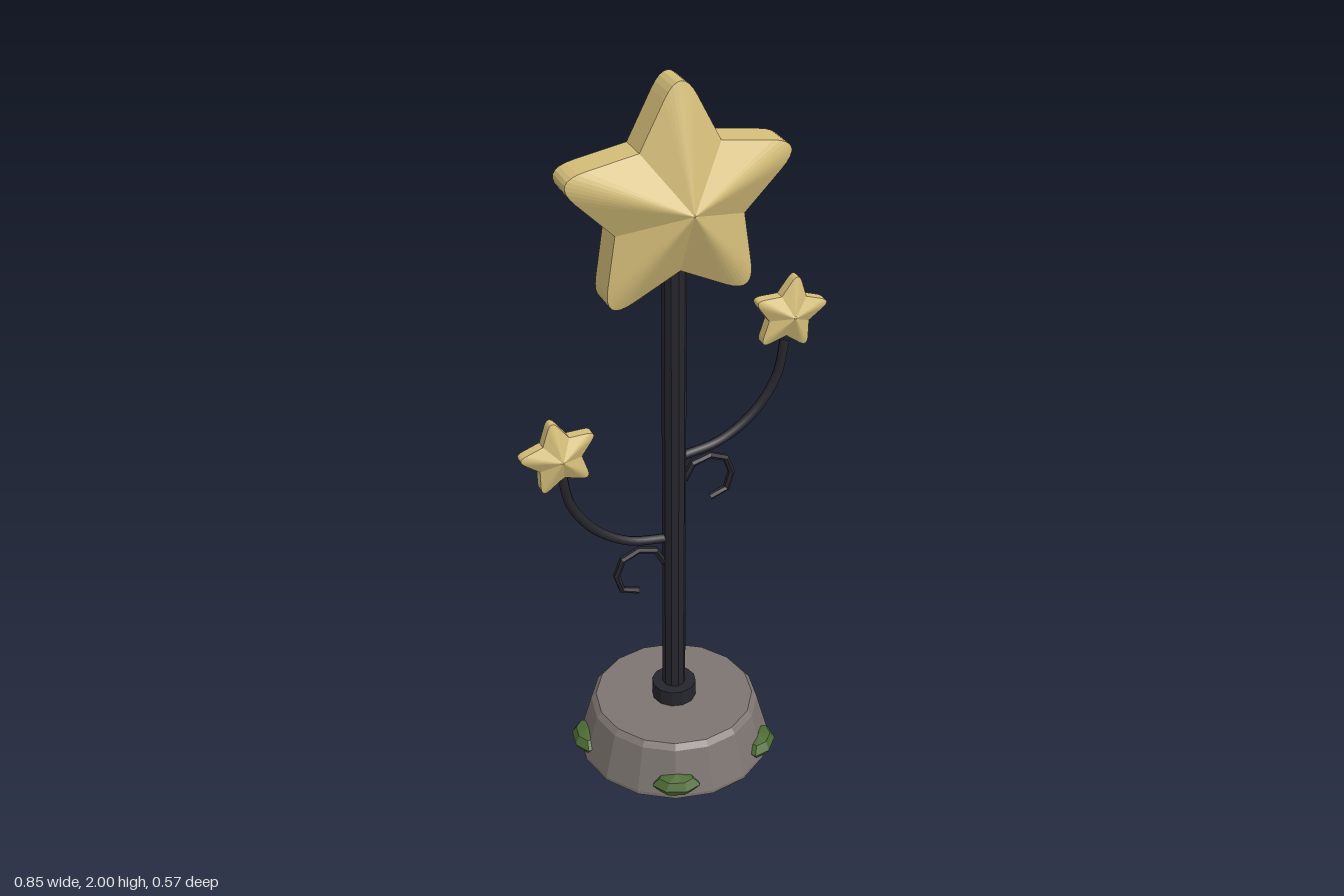
import * as THREE from 'three';

const gold = new THREE.MeshStandardMaterial({ color: 0xd6bf7a });
gold.name = 'gold';
const iron = new THREE.MeshStandardMaterial({ color: 0x25252d });
iron.name = 'dark iron';
const stone = new THREE.MeshStandardMaterial({ color: 0x7d7571 });
stone.name = 'stone';
const moss = new THREE.MeshStandardMaterial({ color: 0x4c6b33 });
moss.name = 'moss';

// Split faces so each one is shaded flat
function faceted(geometry) {
  const g = geometry.index ? geometry.toNonIndexed() : geometry;
  g.computeVertexNormals();
  return g;
}

// Five rounded arms: a flat rim band with a pyramid peak on each side
function starGeometry() {
  const polar = (r, a) => new THREE.Vector2(-r * Math.sin(a), r * Math.cos(a));
  const outline = new THREE.Shape();
  const step = Math.PI / 5;
  for (let i = 0; i < 5; i++) {
    const a = i * 2 * step;
    const tip = polar(0.35, a);
    const before = polar(0.18, a - step);
    const after = polar(0.18, a + step);
    const p = before.clone().lerp(tip, 0.6);
    const q = after.clone().lerp(tip, 0.6);
    if (i === 0) outline.moveTo(before.x, before.y);
    outline.lineTo(p.x, p.y);
    outline.quadraticCurveTo(tip.x, tip.y, q.x, q.y);
    outline.lineTo(after.x, after.y);
  }
  const pts = outline.getPoints(8);
  const rim = 0.04, peak = 0.125, v = [];
  for (let i = 0; i < pts.length - 1; i++) {
    const a = pts[i], b = pts[i + 1];
    v.push(a.x, a.y, rim, b.x, b.y, rim, 0, 0, peak);
    v.push(b.x, b.y, -rim, a.x, a.y, -rim, 0, 0, -peak);
    v.push(a.x, a.y, -rim, b.x, b.y, -rim, b.x, b.y, rim);
    v.push(a.x, a.y, -rim, b.x, b.y, rim, a.x, a.y, rim);
  }
  const g = new THREE.BufferGeometry();
  g.setAttribute('position', new THREE.Float32BufferAttribute(v, 3));
  return faceted(g);
}

export function createModel() {
  const model = new THREE.Group();
  const add = (name, geometry, material, x = 0, y = 0, z = 0) => {
    const mesh = new THREE.Mesh(geometry, material);
    mesh.name = name;
    mesh.position.set(x, y, z);
    model.add(mesh);
    return mesh;
  };

  // Sixteen-sided stone foot with a bevelled top edge
  const profile = [[0, 0], [0.272, 0], [0.272, 0.01], [0.236, 0.14], [0.222, 0.155], [0, 0.155]]
    .map(([r, y]) => new THREE.Vector2(r, y));
  add('stoneBase', faceted(new THREE.LatheGeometry(profile, 16)), stone);

  // Pole and its collar
  add('collar', faceted(new THREE.CylinderGeometry(0.062, 0.062, 0.06, 12)), iron, 0, 0.172);
  add('pole', faceted(new THREE.CylinderGeometry(0.032, 0.032, 1.42, 10)), iron, 0, 0.86);

  // Moss clumps around the foot
  [-103, -27, 42, 112, 190].forEach((deg, i) => {
    const a = THREE.MathUtils.degToRad(deg);
    const g = new THREE.SphereGeometry(1, 7, 4);
    g.rotateY(i * 0.9);
    g.scale(0.042, 0.031, 0.068);
    const clump = add('mossClump', faceted(g), moss, 0.255 * Math.cos(a), 0.043, 0.255 * Math.sin(a));
    clump.rotation.y = -a;
  });

  // Large star on top
  const star = starGeometry();
  add('topStar', star, gold, 0, 1.69);

  // Curved branches, each with a curl below and a small star at the end
  for (const [side, y] of [[-1, 0.695], [1, 0.945]]) {
    const path = new THREE.CatmullRomCurve3(
      [0, 0.25, 0.5, 0.75, 1].map((t) => {
        const a = t * Math.PI / 2;
        return new THREE.Vector3(side * (0.02 + 0.295 * Math.sin(a)), y + 0.29 * (1 - Math.cos(a)), 0);
      }));
    add('branch', new THREE.TubeGeometry(path, 20, 0.013, 8), iron);

    const curl = new THREE.CatmullRomCurve3(
      [[0.03, -0.075], [0.052, -0.032], [0.1, -0.016], [0.152, -0.038],
        [0.168, -0.08], [0.152, -0.133], [0.105, -0.149]]
        .map(([px, py]) => new THREE.Vector3(side * px, y + py, 0)));
    add('curl', faceted(new THREE.TubeGeometry(curl, 6, 0.01, 6)), iron);

    const small = add('smallStar', star, gold, side * 0.322, y + 0.345 + (side > 0 ? 0.02 : -0.008));
    small.scale.setScalar(0.34);
    small.rotation.z = -side * 0.17;
  }

  model.children.forEach((m) => { m.position.x -= 0.005; m.position.z += 0.005; });
  return model;
}
